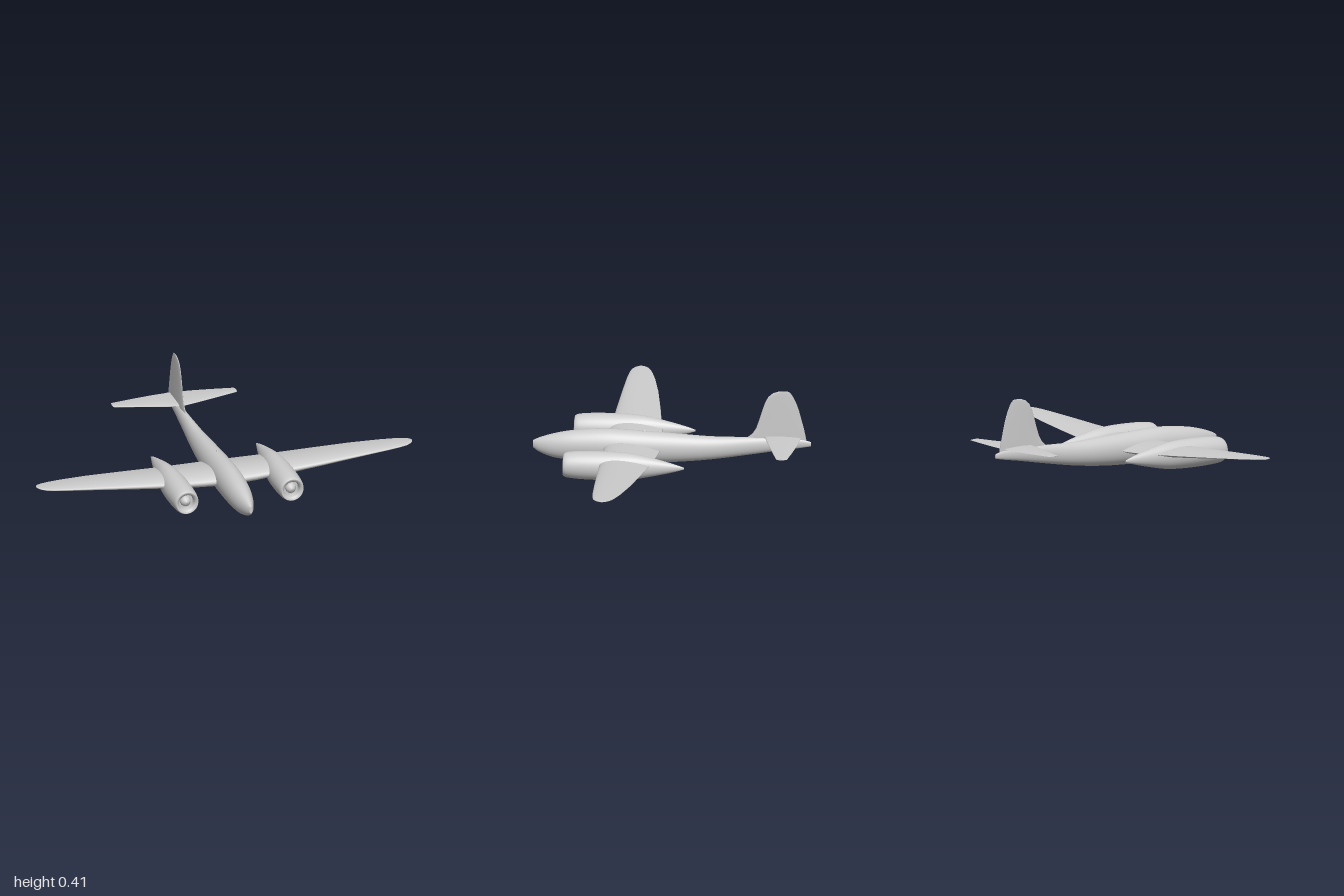
import * as THREE from 'three';

const grey = new THREE.MeshStandardMaterial({ color: 0xcccccc });
grey.name = 'light grey';

// Smooth in-between sections, component by component
function refine(rows, steps) {
  const out = [];
  const at = (i) => rows[Math.min(Math.max(i, 0), rows.length - 1)];
  for (let i = 0; i < rows.length - 1; i++) {
    const [a, b, c, d] = [at(i - 1), at(i), at(i + 1), at(i + 2)];
    for (let s = 0; s < steps; s++) {
      const t = s / steps;
      out.push(b.map((v, k) => v + 0.5 * t * (c[k] - a[k] +
        t * (2 * a[k] - 5 * v + 4 * c[k] - d[k] + t * (3 * (v - c[k]) + d[k] - a[k])))));
    }
  }
  out.push(at(rows.length - 1));
  return out;
}

// Skin closed rings of points and cap both ends, with outward faces
function loft(rings) {
  const n = rings[0].length;
  const pts = rings.flat();
  const index = [];
  for (let r = 0; r < rings.length - 1; r++) {
    for (let i = 0; i < n; i++) {
      const a = r * n + i, b = r * n + (i + 1) % n;
      index.push(a, b, a + n, b, b + n, a + n);
    }
  }
  [[rings[0], true], [rings[rings.length - 1], false]].forEach(([ring, first]) => {
    const base = pts.length;
    const mid = ring.reduce((m, p) => m.add(p), new THREE.Vector3()).divideScalar(n);
    pts.push(...ring, mid);
    for (let i = 0; i < n; i++) {
      const a = base + i, b = base + (i + 1) % n;
      index.push(...(first ? [b, a, base + n] : [a, b, base + n]));
    }
  });
  // a negative volume means the skin is inside out
  let volume = 0;
  const cross = new THREE.Vector3();
  for (let i = 0; i < index.length; i += 3) {
    volume += pts[index[i]].dot(cross.crossVectors(pts[index[i + 1]], pts[index[i + 2]]));
  }
  if (volume < 0) index.reverse();
  const geo = new THREE.BufferGeometry().setFromPoints(pts);
  geo.setIndex(index);
  geo.computeVertexNormals();
  return geo;
}

// Oval ring from [z, bottom, top, half width]
function oval([z, bottom, top, half], n = 40) {
  return Array.from({ length: n }, (_, i) => {
    const a = (i / n) * Math.PI * 2;
    return new THREE.Vector3(Math.cos(a) * half, (bottom + top) / 2 + Math.sin(a) * (top - bottom) / 2, z);
  });
}

// Streamlined section: place(offset across thickness, z) gives the point
function foil(lead, trail, thick, place, n = 28) {
  return Array.from({ length: n }, (_, i) => {
    const a = (i / n) * Math.PI * 2;
    const c = (1 - Math.cos(a)) / 2;
    const h = 2.6 * (Math.sqrt(c) * (1 - c)) / 2 * thick / 1.0;
    return place(Math.sign(Math.sin(a)) * h * (i % (n / 2) ? 1 : 0), lead + (trail - lead) * c);
  });
}

// Full-span surface from half-span rows [x, y, lead z, trail z, thickness]
function span(rows) {
  const mirrored = rows.slice(1).reverse().map(([x, ...rest]) => [-x, ...rest]);
  return loft([...mirrored, ...rows].map(([x, y, lead, trail, thick]) =>
    foil(lead, trail, thick, (h, z) => new THREE.Vector3(x, y + h, z))));
}

function add(parent, geometry, name) {
  const mesh = new THREE.Mesh(geometry, grey);
  mesh.name = name;
  parent.add(mesh);
  return mesh;
}

function createNacelle(name, x) {
  const nacelle = new THREE.Group();
  nacelle.name = name;
  nacelle.position.x = x;
  // recessed intake, rolled lip, then the body tapering to a point
  const intake = [[0.485, 0.039, 0.117, 0.039], [0.505, 0.037, 0.119, 0.041], [0.52, 0.034, 0.122, 0.044]];
  const body = refine([
    [0.525, 0.021, 0.135, 0.057], [0.505, 0.013, 0.144, 0.064], [0.44, 0.007, 0.151, 0.068],
    [0.34, 0.005, 0.154, 0.068], [0.25, 0.007, 0.153, 0.062], [0.17, 0.013, 0.147, 0.052],
    [0.09, 0.028, 0.132, 0.039], [0.0, 0.048, 0.111, 0.022], [-0.06, 0.064, 0.094, 0.009],
    [-0.09, 0.074, 0.083, 0.002],
  ], 4);
  add(nacelle, loft([...intake, ...body].map((row) => oval(row))), 'engineCowling');
  const hub = [[0, 0.518], [0.012, 0.515], [0.022, 0.506], [0.027, 0.494], [0.028, 0.48]]
    .reverse().map(([r, z]) => new THREE.Vector2(r, z));
  const hubMesh = add(nacelle, new THREE.LatheGeometry(hub, 28), 'engineHub');
  hubMesh.rotation.x = Math.PI / 2;
  hubMesh.position.y = 0.078;
  return nacelle;
}

export function createModel() {
  const plane = new THREE.Group();
  plane.name = 'twinEnginePlane';

  // Fuselage
  const fuselage = refine([
    [0.71, 0.062, 0.1, 0.008], [0.675, 0.038, 0.117, 0.025], [0.6, 0.013, 0.141, 0.047],
    [0.5, 0.005, 0.161, 0.062], [0.35, 0.002, 0.175, 0.068], [0.2, 0.003, 0.172, 0.066],
    [0, 0.011, 0.163, 0.057], [-0.2, 0.032, 0.154, 0.043], [-0.4, 0.065, 0.158, 0.027],
    [-0.55, 0.092, 0.16, 0.017], [-0.66, 0.11, 0.154, 0.009], [-0.71, 0.12, 0.143, 0.004],
  ], 4);
  add(plane, loft(fuselage.map((row) => oval(row))), 'fuselage');

  // Main wing with rising, rounded tips
  add(plane, span([
    [0, 0.084, 0.346, 0.05, 0.078], [0.15, 0.089, 0.343, 0.063, 0.07], [0.3, 0.097, 0.338, 0.082, 0.058],
    [0.5, 0.112, 0.332, 0.11, 0.044], [0.7, 0.128, 0.325, 0.142, 0.03], [0.85, 0.139, 0.318, 0.174, 0.02],
    [0.92, 0.144, 0.312, 0.194, 0.015], [0.96, 0.147, 0.304, 0.209, 0.012], [0.985, 0.149, 0.288, 0.224, 0.009],
    [0.996, 0.15, 0.272, 0.237, 0.006], [1, 0.15, 0.258, 0.248, 0.003],
  ]), 'mainWing');

  // Tailplane
  add(plane, span([
    [0, 0.163, -0.472, -0.66, 0.014], [0.1, 0.163, -0.498, -0.653, 0.012], [0.2, 0.163, -0.527, -0.64, 0.01],
    [0.3, 0.163, -0.557, -0.624, 0.008], [0.325, 0.163, -0.564, -0.62, 0.007], [0.33, 0.163, -0.572, -0.613, 0.004],
  ]), 'tailplane');

  // Tail fin from rows [y, lead z, trail z, thickness]
  const fin = [
    [0.13, -0.375, -0.688, 0.014], [0.16, -0.388, -0.685, 0.014], [0.18, -0.412, -0.681, 0.014],
    [0.21, -0.43, -0.674, 0.013], [0.26, -0.447, -0.662, 0.012], [0.31, -0.462, -0.649, 0.011],
    [0.35, -0.476, -0.635, 0.01], [0.38, -0.492, -0.621, 0.009], [0.4, -0.515, -0.608, 0.007],
    [0.409, -0.54, -0.598, 0.005], [0.412, -0.56, -0.588, 0.003],
  ];
  add(plane, loft(fin.map(([y, lead, trail, thick]) =>
    foil(lead, trail, thick, (h, z) => new THREE.Vector3(h, y, z)))), 'tailFin');

  // Small fairing on the spine and tail light
  const fairing = add(plane, new THREE.SphereGeometry(1, 12, 8), 'spineFairing');
  fairing.scale.set(0.006, 0.006, 0.011);
  fairing.position.set(0, 0.17, 0.14);

  // Engines
  plane.add(createNacelle('leftEngine', 0.28), createNacelle('rightEngine', -0.28));
  return plane;
}
